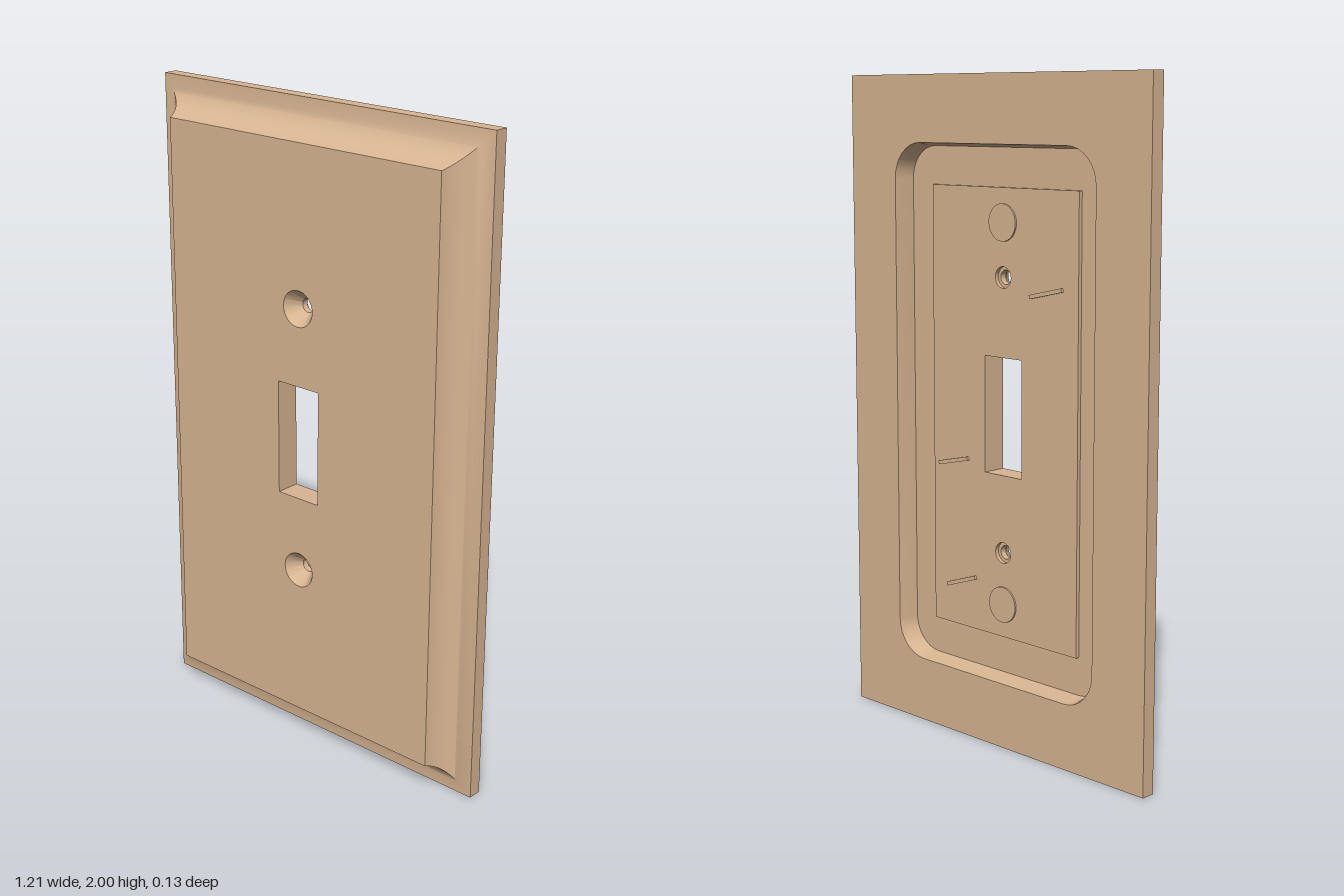
import * as THREE from 'three';
import { toCreasedNormals } from 'three/addons/utils/BufferGeometryUtils.js';

const W = 0.607, H = 1;                        // half width and half height of the plate
const BACK = -0.065, FRONT = 0.065, EDGE = -0.022, FLOOR = 0, PANEL = -0.012;
const SCREW_Y = 0.414;

// Outlines, all counter-clockwise seen from the front
const rect = (w, h) => [[w, -h], [w, h], [-w, h], [-w, -h]].map(p => new THREE.Vector2(...p));

function arc(cx, cy, r, from, to, n) {
  return Array.from({ length: n + 1 }, (_, i) => {
    const a = from + (to - from) * i / n;
    return new THREE.Vector2(cx + r * Math.cos(a), cy + r * Math.sin(a));
  });
}

const circle = (r, y) => arc(0, y, r, 0, Math.PI * 2, 32).slice(0, -1);

function roundedRect(w, h, r) {
  const corners = [[1, 1], [-1, 1], [-1, -1], [1, -1]];
  return corners.flatMap(([sx, sy], i) =>
    arc(sx * (w - r), sy * (h - r), r, i * Math.PI / 2, (i + 1) * Math.PI / 2, 8));
}

// Flat face with holes, looking forward or backward
function face(outline, holes, z, backward = false) {
  const shape = new THREE.Shape(outline);
  shape.holes = holes.map(h => new THREE.Path(h));
  const g = new THREE.ShapeGeometry(shape);
  if (backward) g.rotateY(Math.PI);
  return g.translate(0, 0, z);
}

// Wall through [outline, z] rings: outward when z rises, inward when z falls
function wall(rings) {
  const n = rings[0][0].length, pos = [], idx = [];
  for (const [outline, z] of rings) for (const p of outline) pos.push(p.x, p.y, z);
  for (let k = 0; k < rings.length - 1; k++) {
    for (let i = 0; i < n; i++) {
      const j = (i + 1) % n;
      const a = k * n + i, b = k * n + j, c = b + n, d = a + n;
      idx.push(a, b, c, a, c, d);
    }
  }
  const g = new THREE.BufferGeometry();
  g.setAttribute('position', new THREE.Float32BufferAttribute(pos, 3));
  g.setIndex(idx);
  return toCreasedNormals(g, 0.6);
}

export function createModel() {
  const model = new THREE.Group();
  model.name = 'switchPlate';
  model.position.y = H;
  const tan = new THREE.MeshStandardMaterial({ color: 0xd8b592 });
  tan.name = 'tan';

  const add = (name, geometry) => {
    const m = new THREE.Mesh(geometry, tan);
    m.name = name;
    model.add(m);
    return m;
  };

  const toggle = rect(0.077, 0.177);
  const screws = r => [circle(r, SCREW_Y), circle(r, -SCREW_Y)];
  const opening = roundedRect(0.41, 0.8, 0.11);
  const floor = roundedRect(0.4, 0.79, 0.1);
  const panel = rect(0.3, 0.675);

  // Straight outer edge followed by the concave moulding
  add('outerEdge', wall([[rect(W, H), BACK], [rect(W, H), EDGE]]));
  const cove = new THREE.QuadraticBezierCurve(
    new THREE.Vector2(0, EDGE), new THREE.Vector2(0.085, -0.015), new THREE.Vector2(0.106, FRONT));
  add('coveMoulding', wall(cove.getPoints(12).map(p => [rect(W - p.x, H - p.x), p.y])));

  // Front face
  add('frontFace', face(rect(W - 0.106, H - 0.106), [toggle, ...screws(0.055)], FRONT));

  // Back rim, recess and raised panel
  add('backRim', face(rect(W, H), [opening], BACK, true));
  add('recessWall', wall([[floor, FLOOR], [opening, BACK]]));
  add('recessFloor', face(floor, [panel], FLOOR, true));
  add('panelEdge', wall([[panel, PANEL], [panel, FLOOR]]));
  add('backPanel', face(panel, [toggle, ...screws(0.032)], PANEL, true));

  // Toggle opening and countersunk screw holes
  add('toggleOpening', wall([[toggle, FRONT], [toggle, PANEL]]));
  for (const y of [SCREW_Y, -SCREW_Y]) {
    add('screwHole', wall([[0.055, FRONT], [0.021, 0.02], [0.021, 0], [0.032, 0], [0.032, PANEL]]
      .map(([r, z]) => [circle(r, y), z])));
  }

  // Round pads and slanted ribs on the back panel
  for (const y of [0.574, -0.574]) {
    const pad = add('roundPad', new THREE.CylinderGeometry(0.055, 0.055, 0.008, 32).rotateX(Math.PI / 2));
    pad.position.set(0, y, PANEL - 0.001);
  }
  for (const [x, y, tilt] of [[-0.177, 0.38, -0.22], [0.21, -0.16, -0.23], [0.177, -0.533, -0.33]]) {
    const rib = add('rib', new THREE.BoxGeometry(0.13, 0.012, 0.012));
    rib.position.set(x, y, PANEL - 0.002);
    rib.rotation.z = tilt;
  }

  const root = new THREE.Group();
  root.name = 'wallPlate';
  root.add(model);
  return root;
}
